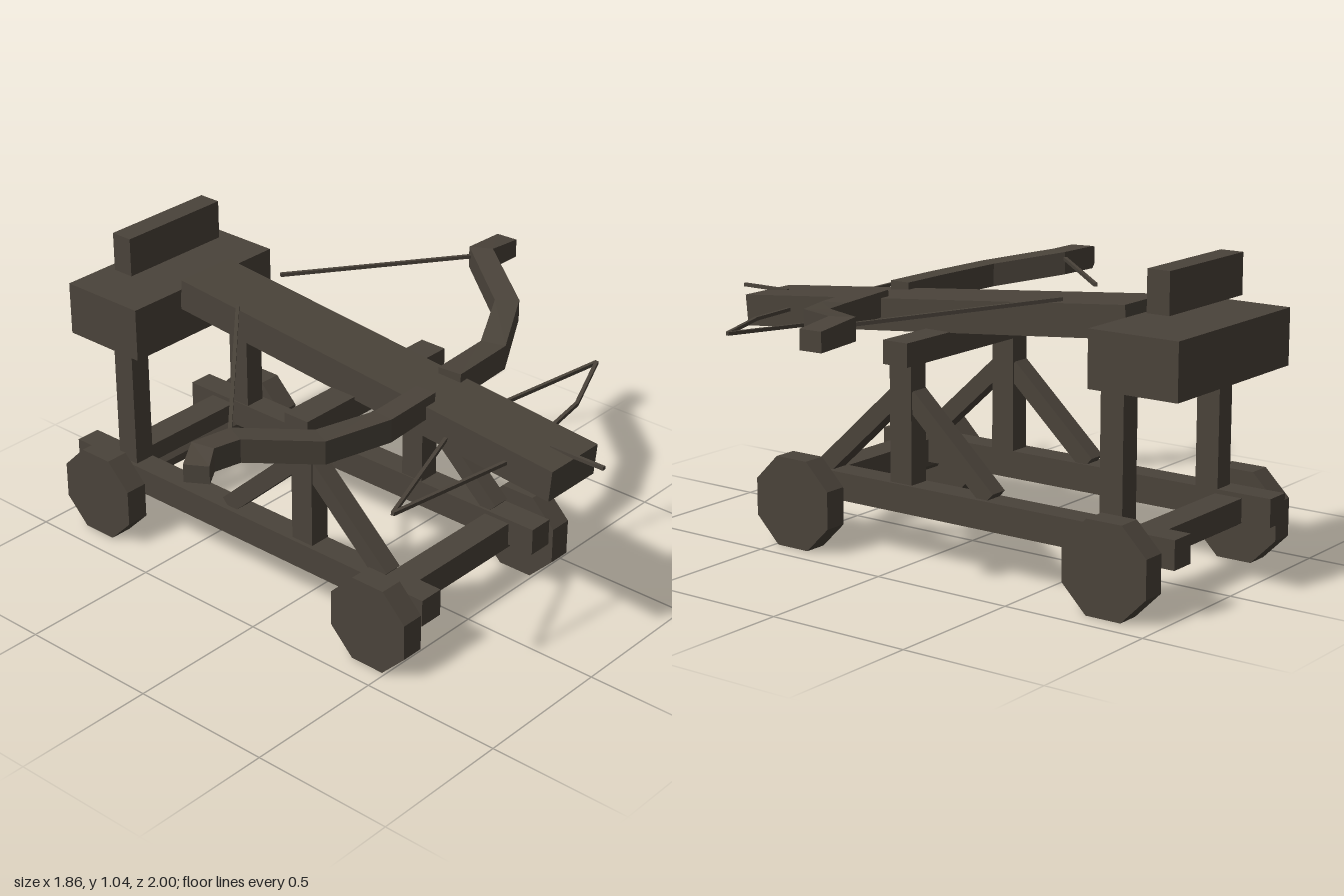
import * as THREE from 'three';

const wood = new THREE.MeshStandardMaterial({ color: 0x4a433a, flatShading: true });
wood.name = 'darkWood';

const V = (p) => new THREE.Vector3(...p);

export function createModel() {
  const root = new THREE.Group();
  root.name = 'fieldBallista';

  const add = (name, geometry) => {
    const mesh = new THREE.Mesh(geometry, wood);
    mesh.name = name;
    root.add(mesh);
    return mesh;
  };

  // Axis-aligned block given by its extents
  const block = (name, [x0, x1], [y0, y1], [z0, z1]) => {
    const mesh = add(name, new THREE.BoxGeometry(x1 - x0, y1 - y0, z1 - z0));
    mesh.position.set((x0 + x1) / 2, (y0 + y1) / 2, (z0 + z1) / 2);
  };

  // Straight timber, cord or rod running from a to b
  const beam = (name, a, b, w, h = w) => {
    const from = V(a), to = V(b);
    const mesh = add(name, new THREE.BoxGeometry(w, h, from.distanceTo(to)));
    mesh.position.copy(from).add(to).multiplyScalar(0.5);
    mesh.lookAt(to);
  };

  // Octagonal prism lying along x
  const octagon = (name, radius, length, x, y, z) => {
    const geo = new THREE.CylinderGeometry(radius, radius, length, 8);
    geo.rotateY(Math.PI / 8).rotateZ(Math.PI / 2);
    add(name, geo).position.set(x, y, z);
  };

  // Mitred rectangular limb through points [x, y, z, width, height]
  const limb = (name, pts) => {
    const pos = [], index = [];
    const dir = (a, b) => new THREE.Vector2(b[0] - a[0], b[2] - a[2]).normalize();
    pts.forEach((p, i) => {
      const d0 = dir(pts[Math.max(i - 1, 0)], pts[Math.max(i, 1)]);
      const last = pts.length - 1;
      const d1 = dir(pts[Math.min(i, last - 1)], pts[Math.min(i + 1, last)]);
      const t = d0.clone().add(d1).normalize();
      const s = p[3] / 2 / t.dot(d0), h = p[4] / 2;
      for (const [u, v] of [[1, 1], [-1, 1], [-1, -1], [1, -1]]) {
        pos.push(p[0] - t.y * s * u, p[1] + h * v, p[2] + t.x * s * u);
      }
      if (i > 0) {
        const a = (i - 1) * 4, b = i * 4;
        for (let k = 0; k < 4; k++) {
          const n = (k + 1) % 4;
          index.push(a + k, b + k, b + n, a + k, b + n, a + n);
        }
      }
    });
    const e = (pts.length - 1) * 4;
    index.push(0, 1, 2, 0, 2, 3, e, e + 2, e + 1, e, e + 3, e + 2);
    const geo = new THREE.BufferGeometry();
    geo.setAttribute('position', new THREE.Float32BufferAttribute(pos, 3));
    geo.setIndex(index);
    const flat = geo.toNonIndexed();
    flat.computeVertexNormals();
    add(name, flat);
  };

  // Side frames: rail, posts and braces
  for (const s of [-1, 1]) {
    const side = s > 0 ? 'left' : 'right';
    const r = 0.003 + s * 0.2825, p = 0.005 + s * 0.277;
    block(side + 'Rail', [r - 0.045, r + 0.045], [0.17, 0.265], [-1, 0.57]);
    block(side + 'MiddlePost', [p - 0.038, p + 0.038], [0.26, 0.67], [0.005, 0.092]);
    block(side + 'RearPost', [p - 0.038, p + 0.038], [0.26, 0.69], [-0.805, -0.722]);
    beam(side + 'FrontBrace', [p, 0.555, 0.07], [p, 0.265, 0.385], 0.065, 0.06);
    beam(side + 'RearBrace', [p, 0.555, 0.02], [p, 0.265, -0.295], 0.065, 0.06);
  }

  // Axles, cross members and wheels
  for (const [end, z, cz] of [['front', 0.425, 0.42], ['rear', -0.81, -0.845]]) {
    octagon(end + 'Axle', 0.033, 0.72, 0.003, 0.156, z);
    block(end + 'CrossMember', [-0.28, 0.285], [0.168, 0.25], [cz - 0.05, cz + 0.05]);
    for (const s of [-1, 1]) {
      octagon(end + (s > 0 ? 'Left' : 'Right') + 'Wheel', 0.165, 0.082, 0.003 + s * 0.382, 0.158, z);
    }
  }

  // Upper body
  block('supportBeam', [-0.335, 0.343], [0.658, 0.737], [0.002, 0.1]);
  block('rearBlock', [-0.322, 0.33], [0.682, 0.868], [-1, -0.68]);
  block('sightBlock', [-0.208, 0.215], [0.912, 1.048], [-0.893, -0.813]);
  beam('stock', [0.005, 0.706, 0.886], [0.005, 0.852, -0.678], 0.23, 0.108);
  beam('boltTip', [0.003, 0.766, 0.8], [0.003, 0.766, 1], 0.012);

  // Bow limbs
  limb('leftBowLimb', [
    [0.08, 0.795, 0.335, 0.085, 0.085], [0.33, 0.79, 0.313, 0.085, 0.085],
    [0.565, 0.825, 0.185, 0.08, 0.075], [0.765, 0.865, -0.087, 0.075, 0.075],
    [0.923, 0.855, -0.097, 0.08, 0.065],
  ]);
  limb('rightBowLimb', [
    [-0.065, 0.8, 0.357, 0.075, 0.075], [-0.28, 0.795, 0.365, 0.075, 0.08],
    [-0.515, 0.805, 0.318, 0.078, 0.08], [-0.715, 0.836, 0.155, 0.078, 0.08],
    [-0.835, 0.84, 0.137, 0.075, 0.08], [-0.91, 0.83, 0.183, 0.08, 0.06],
  ]);

  // Bow cords and the slack ropes beside the stock
  const rope = (name, pts) => {
    for (let i = 1; i < pts.length; i++) beam(name, pts[i - 1], pts[i], 0.012);
  };
  rope('leftBowCord', [[0.145, 0.904, -0.457], [0.75, 0.875, -0.095]]);
  rope('rightBowCord', [[-0.122, 0.902, -0.402], [-0.72, 0.85, 0.135]]);
  rope('leftSlackRope', [
    [0.08, 0.72, 0.448], [0.588, 0.742, 0.545], [0.325, 0.735, 0.66], [0.08, 0.73, 0.7],
  ]);
  rope('rightSlackRope', [
    [-0.08, 0.72, 0.465], [-0.59, 0.744, 0.67], [-0.08, 0.725, 0.716],
  ]);

  return root;
}
